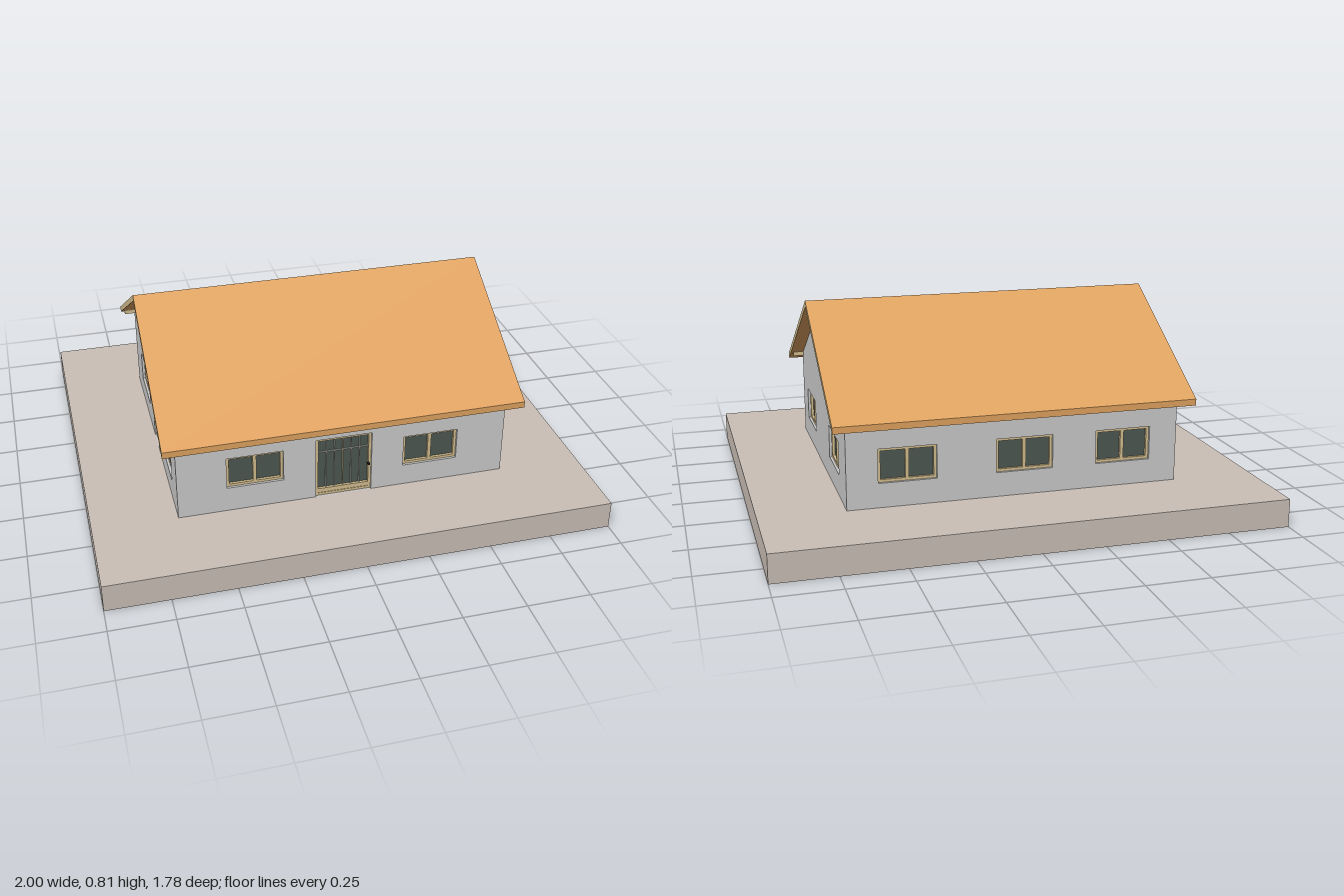
import * as THREE from 'three';

const HX = 0.665, HZ = 0.555, GROUND = 0.113, T = 0.04; // house half sizes, plinth top, wall thickness
const SLOPE = 0.577, RIDGE = 0.813, ROOF_T = 0.026;

const material = (color) => new THREE.MeshStandardMaterial({ color, roughness: 0.9 });

export function createModel() {
  const wallMat = material(0xcccccc), stone = material(0xcabfb7), orange = material(0xe0a360);
  const wood = material(0xd4be8e), glass = material(0x4e5853), barMat = material(0xb8bcb4), dark = material(0x222222);
  const model = new THREE.Group();
  model.name = 'house';

  const add = (parent, name, geometry, mat, x = 0, y = 0, z = 0) => {
    const mesh = new THREE.Mesh(geometry, mat);
    mesh.name = name;
    mesh.position.set(x, y, z);
    parent.add(mesh);
    return mesh;
  };
  const box = (parent, name, mat, w, h, d, x, y, z) =>
    add(parent, name, new THREE.BoxGeometry(w, h, d), mat, x, y, z);
  const trace = (target, points) => target.setFromPoints(points.map(([x, y]) => new THREE.Vector2(x, y)));
  const rect = (x0, y0, x1, y1) => [[x0, y0], [x1, y0], [x1, y1], [x0, y1], [x0, y0]];
  const extrude = (shape, depth) =>
    new THREE.ExtrudeGeometry(shape, { depth, bevelEnabled: false, curveSegments: 32 });

  // Plinth, open beneath the house, with the floor set in its top
  const plinth = trace(new THREE.Shape(), rect(-1, -0.89, 1, 0.89));
  plinth.holes.push(trace(new THREE.Path(), rect(-HX, -HZ, HX, HZ)));
  add(model, 'plinth', extrude(plinth, GROUND).rotateX(-Math.PI / 2), stone);
  box(model, 'floor', wallMat, 2 * HX, 0.01, 2 * HZ, 0, GROUND - 0.005, 0);

  // Rectangular frame of four bars around an opening
  const frame = (g, [x0, y0, x1, y1], b, z, d) => {
    const shape = trace(new THREE.Shape(), rect(x0, y0, x1, y1));
    shape.holes.push(trace(new THREE.Path(), rect(x0 + b, y0 + b, x1 - b, y1 - b)));
    add(g, 'frame', extrude(shape, d), wood, 0, 0, z);
  };

  // Opening fillers; the wall's outer face is at local z = 0
  const fillers = {
    window(g, r) {
      const [x0, y0, x1, y1] = r, cx = (x0 + x1) / 2, cy = (y0 + y1) / 2;
      frame(g, r, 0.011, -0.03, 0.02);
      box(g, 'mullion', wood, 0.014, y1 - y0 - 0.02, 0.02, cx, cy, -0.02);
      box(g, 'glass', glass, x1 - x0, y1 - y0, 0.006, cx, cy, -0.024);
    },
    glazedDoor(g, r) {
      const [x0, y0, x1, y1] = r, cx = (x0 + x1) / 2, cy = (y0 + y1) / 2;
      frame(g, r, 0.011, -0.03, 0.022);
      box(g, 'kickBoard', wood, x1 - x0, 0.03, 0.02, cx, y0 + 0.015, -0.02);
      box(g, 'glass', glass, x1 - x0, y1 - y0, 0.006, cx, cy, -0.024);
      for (let i = 1; i < 6; i++) {
        const x = x0 + 0.011 + (x1 - x0 - 0.022) * i / 6;
        box(g, 'glazingBar', i === 3 ? wood : barMat, 0.004, y1 - y0 - 0.02, 0.008, x, cy, -0.019);
      }
      box(g, 'crossBar', barMat, x1 - x0 - 0.02, 0.004, 0.008, cx, 0.31, -0.019);
      box(g, 'handle', dark, 0.008, 0.008, 0.014, x1 - 0.012, 0.235, -0.003);
    },
    woodDoor(g, r) {
      const [x0, y0, x1, y1] = r;
      frame(g, r, 0.009, -0.03, 0.024);
      box(g, 'doorLeaf', wood, x1 - x0, y1 - y0, 0.014, (x0 + x1) / 2, (y0 + y1) / 2, -0.022);
      box(g, 'handle', dark, 0.006, 0.006, 0.014, x1 - 0.018, 0.235, -0.009);
    },
  };

  // Round gable window with crossed bars
  const RY = 0.56, RR = 0.056;
  const roundWindow = (g) => {
    const ring = new THREE.Shape().absarc(0, 0, RR, 0, Math.PI * 2);
    ring.holes.push(new THREE.Path().absarc(0, 0, RR - 0.01, 0, Math.PI * 2, true));
    add(g, 'roundFrame', extrude(ring, 0.02), wood, 0, RY, -0.03);
    add(g, 'roundGlass', new THREE.CylinderGeometry(RR, RR, 0.006, 32).rotateX(Math.PI / 2), glass, 0, RY, -0.024);
    box(g, 'crossBar', wood, 2 * RR - 0.01, 0.005, 0.01, 0, RY, -0.018);
    box(g, 'crossBar', wood, 0.005, 2 * RR - 0.01, 0.01, 0, RY, -0.018);
  };

  // Wall with cut openings, turned to face its side of the house
  const makeWall = (name, turn, gable, openings) => {
    const g = new THREE.Group();
    g.name = name;
    const w = gable ? HZ : HX - T, low = GROUND - 0.008;
    const apex = RIDGE - ROOF_T, eave = apex - SLOPE * HZ;
    const outline = [[-w, low], [w, low], [w, eave]];
    if (gable) outline.push([0, apex]);
    outline.push([-w, eave]);
    const shape = trace(new THREE.Shape(), outline);
    for (const [kind, ...r] of openings) {
      shape.holes.push(trace(new THREE.Path(), rect(...r)));
      fillers[kind](g, r);
    }
    if (gable) {
      shape.holes.push(new THREE.Path().absarc(0, RY, RR, 0, Math.PI * 2));
      roundWindow(g);
    }
    add(g, 'wall', extrude(shape, T), wallMat, 0, 0, -T);
    const out = gable ? HX : HZ;
    g.rotation.y = turn;
    g.position.set(Math.sin(turn) * out, 0, Math.cos(turn) * out);
    model.add(g);
  };

  makeWall('frontWall', 0, false, [
    ['window', -0.47, 0.218, -0.245, 0.353],
    ['glazedDoor', -0.115, GROUND, 0.112, 0.378],
    ['window', 0.243, 0.203, 0.467, 0.337],
  ]);
  makeWall('backWall', Math.PI, false, [
    ['window', -0.543, 0.21, -0.315, 0.345],
    ['window', -0.08, 0.21, 0.148, 0.345],
    ['window', 0.326, 0.21, 0.552, 0.345],
  ]);
  makeWall('leftGable', Math.PI / 2, true, [
    ['window', -0.425, 0.202, -0.2, 0.335],
    ['window', 0.165, 0.202, 0.39, 0.335],
  ]);
  makeWall('rightGable', -Math.PI / 2, true, [
    ['window', -0.39, 0.202, -0.165, 0.335],
    ['woodDoor', -0.056, GROUND, 0.056, 0.368],
    ['window', 0.2, 0.202, 0.425, 0.335],
  ]);

  // Pitched roof with wooden gable edges
  const E = 0.612, top = RIDGE - SLOPE * E;
  const section = trace(new THREE.Shape(), [
    [-E, top - ROOF_T], [0, RIDGE - ROOF_T], [E, top - ROOF_T], [E, top], [0, RIDGE], [-E, top],
  ]);
  add(model, 'roof', extrude(section, 1.44).translate(0, 0, -0.72).rotateY(Math.PI / 2), [wood, orange]);

  // Purlins showing below the gable overhangs
  for (const z of [-0.535, 0, 0.535]) {
    const y = RIDGE - ROOF_T - SLOPE * Math.abs(z) - 0.008;
    box(model, 'purlin', wood, 1.42, 0.018, 0.012, 0, y, z);
  }
  return model;
}
